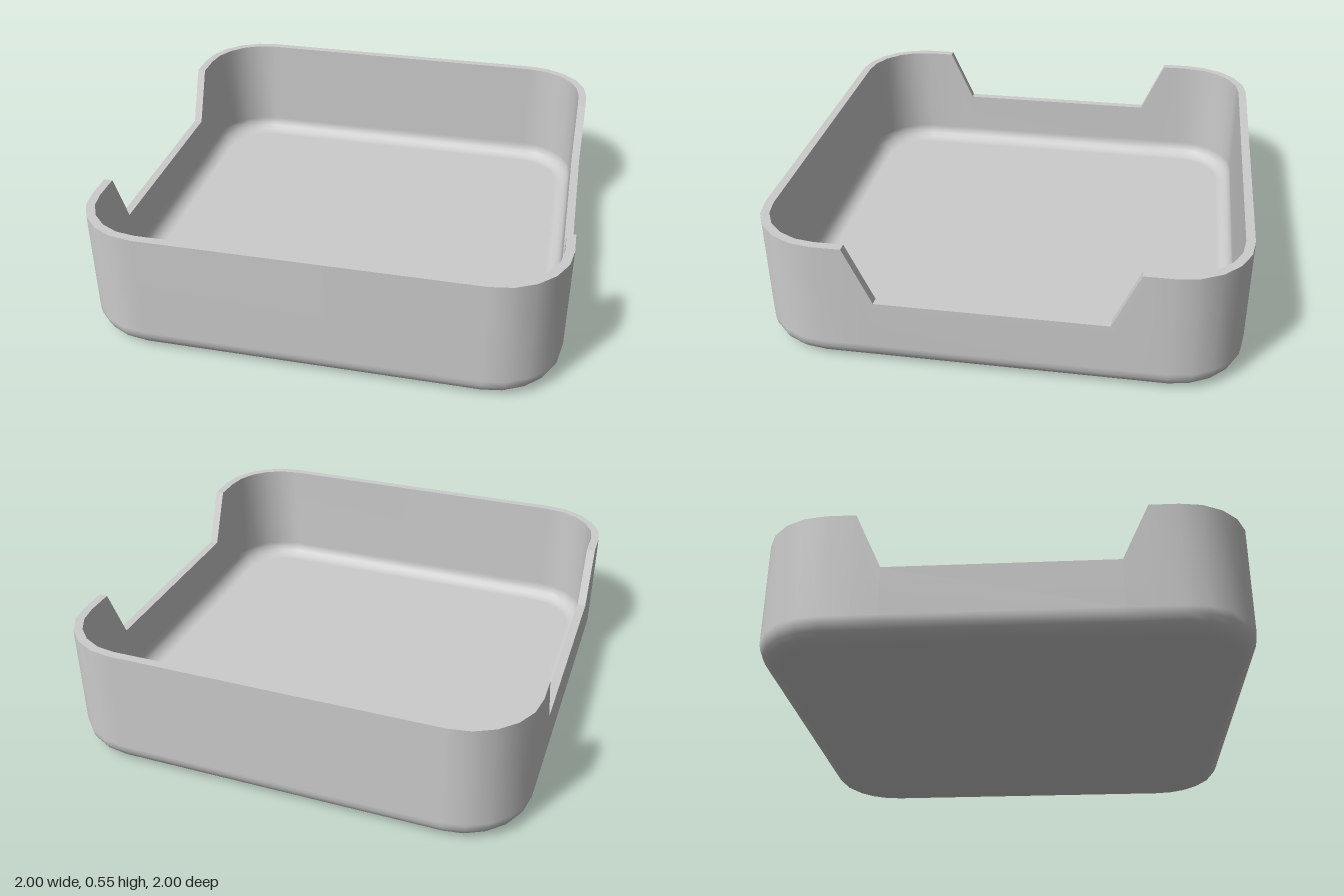
import * as THREE from 'three';

const HEIGHT = 0.545, NOTCH_Y = 0.3, CORNER = 0.3, WALL = 0.037, FLOOR = 0.037;
const BEVEL = 0.09, FILLET = 0.07, STEPS = 5;

// Rounded square as corner centre + direction, with extra points where the side notches bend
function outline() {
  const c = 1 - CORNER, pts = [];
  const notch = (side) => [-0.58, -0.47, 0.47, 0.58].forEach((z) =>
    pts.push({ cx: side * c, cz: side * z, dx: side, dz: 0, rim: Math.abs(z) < 0.5 ? NOTCH_Y : HEIGHT }));
  [[1, 1], [-1, 1], [-1, -1], [1, -1]].forEach(([sx, sz], q) => {
    if (q === 0) notch(1);
    if (q === 2) notch(-1);
    for (let i = 0; i <= STEPS; i++) {
      const a = (q + i / STEPS) * Math.PI / 2;
      pts.push({ cx: sx * c, cz: sz * c, dx: Math.cos(a), dz: Math.sin(a), rim: HEIGHT });
    }
  });
  return pts;
}

// Sweeps a profile of { inset, y } around the outline; 'rim' follows the notched edge
function sweep(profile, material, name) {
  const ring = outline(), n = ring.length, pos = [], idx = [];
  profile.forEach(({ inset, y, centre }, row) => {
    ring.forEach((p, i) => {
      const r = CORNER - inset, h = y === 'rim' ? p.rim : y;
      if (centre) pos.push(0, h, 0);
      else pos.push(p.cx + p.dx * r, h, p.cz + p.dz * r);
      if (row === profile.length - 1) return;
      const a = row * n + i, b = row * n + (i + 1) % n;
      if (!profile[row + 1].centre) idx.push(a, a + n, b + n);
      if (!centre) idx.push(a, b + n, b);
    });
  });
  const geo = new THREE.BufferGeometry();
  geo.setAttribute('position', new THREE.Float32BufferAttribute(pos, 3));
  geo.setIndex(idx);
  geo.computeVertexNormals();
  const mesh = new THREE.Mesh(geo, material);
  mesh.name = name;
  return mesh;
}

// Quarter-round between a floor and a wall, from floor upwards
function quarter(inset, y, radius, steps = 5) {
  return Array.from({ length: steps + 1 }, (_, i) => {
    const a = (i / steps) * Math.PI / 2;
    return { inset: inset + radius * (1 - Math.sin(a)), y: y + radius * (1 - Math.cos(a)) };
  });
}

export function createModel() {
  const group = new THREE.Group();
  group.name = 'notchedTray';
  const grey = new THREE.MeshStandardMaterial({ color: 0xcccccc });
  grey.name = 'light grey';

  // Outer shell: underside, rounded base edge and walls
  group.add(sweep([{ inset: 0, y: 0, centre: true }, ...quarter(0, 0, BEVEL),
    { inset: 0, y: 'rim' }], grey, 'outerShell'));
  // Flat rim, dipping through both side notches
  const rim = sweep([{ inset: 0, y: 'rim' }, { inset: WALL, y: 'rim' }], grey, 'rim');
  rim.geometry = rim.geometry.toNonIndexed();
  rim.geometry.computeVertexNormals();
  group.add(rim);
  // Inner shell: walls, fillet and floor
  group.add(sweep([{ inset: WALL, y: 'rim' }, ...quarter(WALL, FLOOR, FILLET).reverse(),
    { inset: 0, y: FLOOR, centre: true }], grey, 'innerShell'));
  return group;
}
